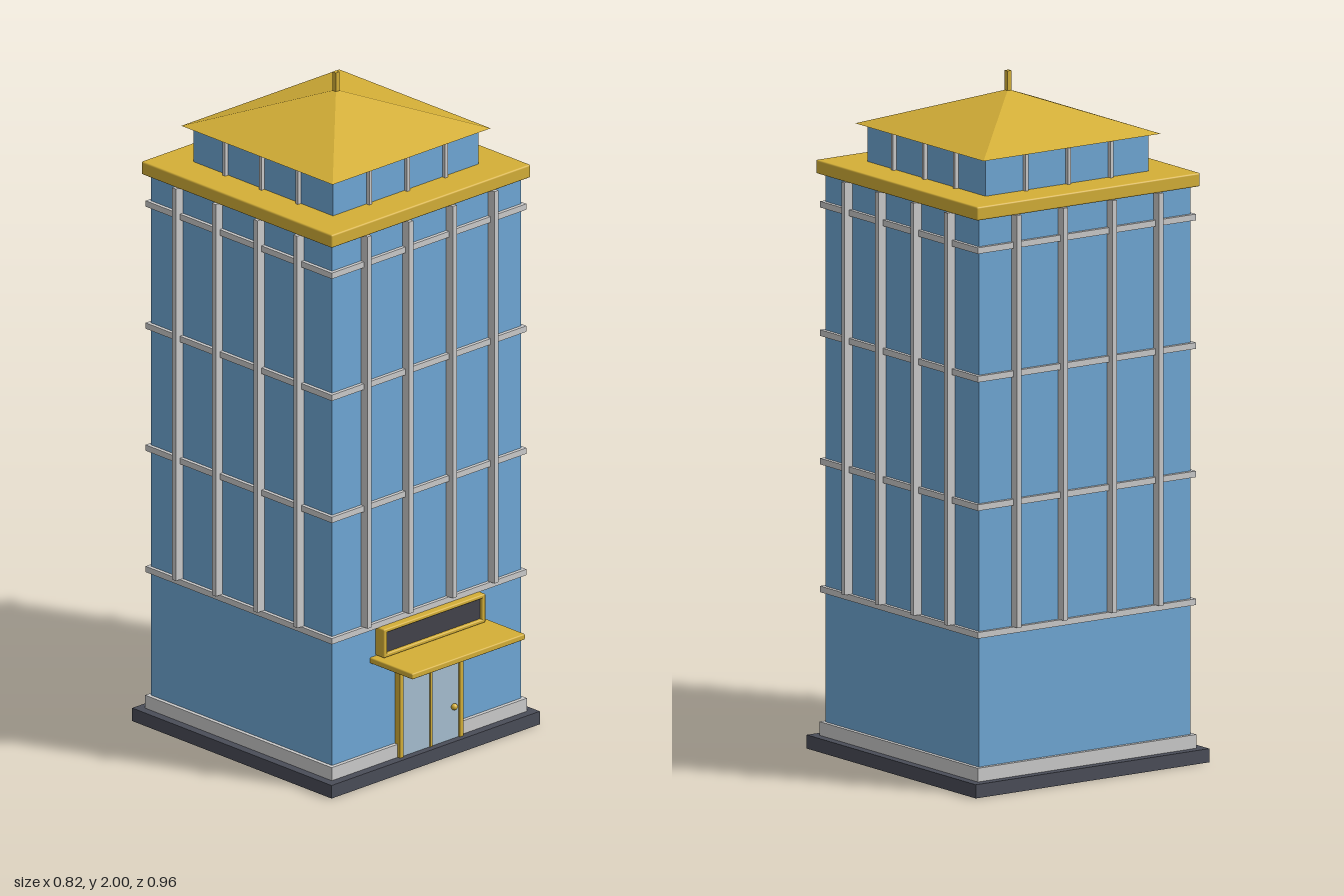
import * as THREE from 'three';
import { RoundedBoxGeometry } from 'three/addons/geometries/RoundedBoxGeometry.js';

const mat = (name, color) => {
  const m = new THREE.MeshStandardMaterial({ color });
  m.name = name;
  return m;
};

export function createModel() {
  const glass = mat('blueGlass', 0x6fa8d6);
  const gold = mat('gold', 0xd4af37);
  const trim = mat('paleGreyTrim', 0xcccccc);
  const dark = mat('darkBase', 0x4a4d58);
  const panel = mat('darkPanel', 0x43434b);
  const doorGlass = mat('doorGlass', 0xa6bfd0);

  const model = new THREE.Group();
  model.name = 'officeTower';
  const tower = new THREE.Group();
  tower.name = 'tower';
  tower.position.z = -0.07;
  model.add(tower);

  const add = (parent, name, geometry, material, x, y, z) => {
    const mesh = new THREE.Mesh(geometry, material);
    mesh.name = name;
    mesh.position.set(x, y, z);
    parent.add(mesh);
    return mesh;
  };
  // Box given by its ranges along each axis, with an optional softened edge
  const block = (parent, name, material, [x0, x1], [y0, y1], [z0, z1], r = 0) => {
    const s = [x1 - x0, y1 - y0, z1 - z0];
    const g = r ? new RoundedBoxGeometry(...s, 2, r) : new THREE.BoxGeometry(...s);
    return add(parent, name, g, material, (x0 + x1) / 2, (y0 + y1) / 2, (z0 + z1) / 2);
  };
  // Square storey centred on the tower axis
  const storey = (name, material, half, y0, y1, r) =>
    block(tower, name, material, [-half, half], [y0, y1], [-half, half], r);

  // Stacked masses
  storey('base', dark, 0.411, 0, 0.04);
  storey('plinth', trim, 0.385, 0.04, 0.08);
  storey('mainBody', glass, 0.373, 0.08, 1.68);
  storey('roofSlab', gold, 0.393, 1.68, 1.72, 0.005);
  storey('penthouse', glass, 0.287, 1.72, 1.83);

  // Floor bands
  for (const y of [0.467, 0.84, 1.215, 1.59]) storey('floorBand', trim, 0.384, y - 0.009, y + 0.009);

  // Vertical mullions on all four sides
  for (let side = 0; side < 4; side++) {
    const face = new THREE.Group();
    face.name = 'facadeMullions';
    face.rotation.y = side * Math.PI / 2;
    tower.add(face);
    for (const x of [-0.25, -0.086, 0.086, 0.25])
      block(face, 'mullion', trim, [x - 0.008, x + 0.008], [0.476, 1.68], [0.37, 0.4]);
    for (const x of [-0.15, 0, 0.15])
      block(face, 'penthouseMullion', trim, [x - 0.005, x + 0.005], [1.72, 1.83], [0.283, 0.299]);
  }

  // Pyramid roof and spire
  const pyramid = new THREE.ConeGeometry(0.312 * Math.SQRT2, 0.115, 4).rotateY(Math.PI / 4).toNonIndexed();
  pyramid.computeVertexNormals();
  add(tower, 'pyramidRoof', pyramid, gold, 0, 1.8875, 0);
  block(tower, 'spire', gold, [-0.007, 0.007], [1.91, 2], [-0.007, 0.007]);

  // Entrance doors
  const entrance = new THREE.Group();
  entrance.name = 'entrance';
  model.add(entrance);
  for (const s of [-1, 1]) {
    add(entrance, 'doorLeaf', new THREE.BoxGeometry(0.11, 0.287, 0.018), doorGlass, s * 0.057, 0.1835, 0.311);
    add(entrance, 'doorPost', new THREE.BoxGeometry(0.014, 0.292, 0.026), gold, s * 0.118, 0.186, 0.312);
  }
  block(entrance, 'doorLintel', gold, [-0.125, 0.125], [0.326, 0.333], [0.299, 0.325]);
  block(entrance, 'doorDivider', gold, [-0.004, 0.004], [0.04, 0.326], [0.299, 0.323]);
  add(entrance, 'doorKnob', new THREE.SphereGeometry(0.01, 16, 12), gold, 0.09, 0.138, 0.324);

  // Canopy slab
  block(entrance, 'canopy', gold, [-0.223, 0.223], [0.352, 0.37], [0.3, 0.478], 0.004);

  // Blank framed board above the canopy
  block(entrance, 'boardPanel', panel, [-0.19, 0.19], [0.381, 0.449], [0.3, 0.328]);
  for (const s of [-1, 1]) {
    add(entrance, 'boardSide', new RoundedBoxGeometry(0.014, 0.088, 0.038, 2, 0.004), gold, s * 0.194, 0.415, 0.319);
    add(entrance, 'boardRail', new RoundedBoxGeometry(0.4, 0.012, 0.038, 2, 0.004), gold, 0, 0.415 + s * 0.038, 0.319);
  }
  return model;
}
